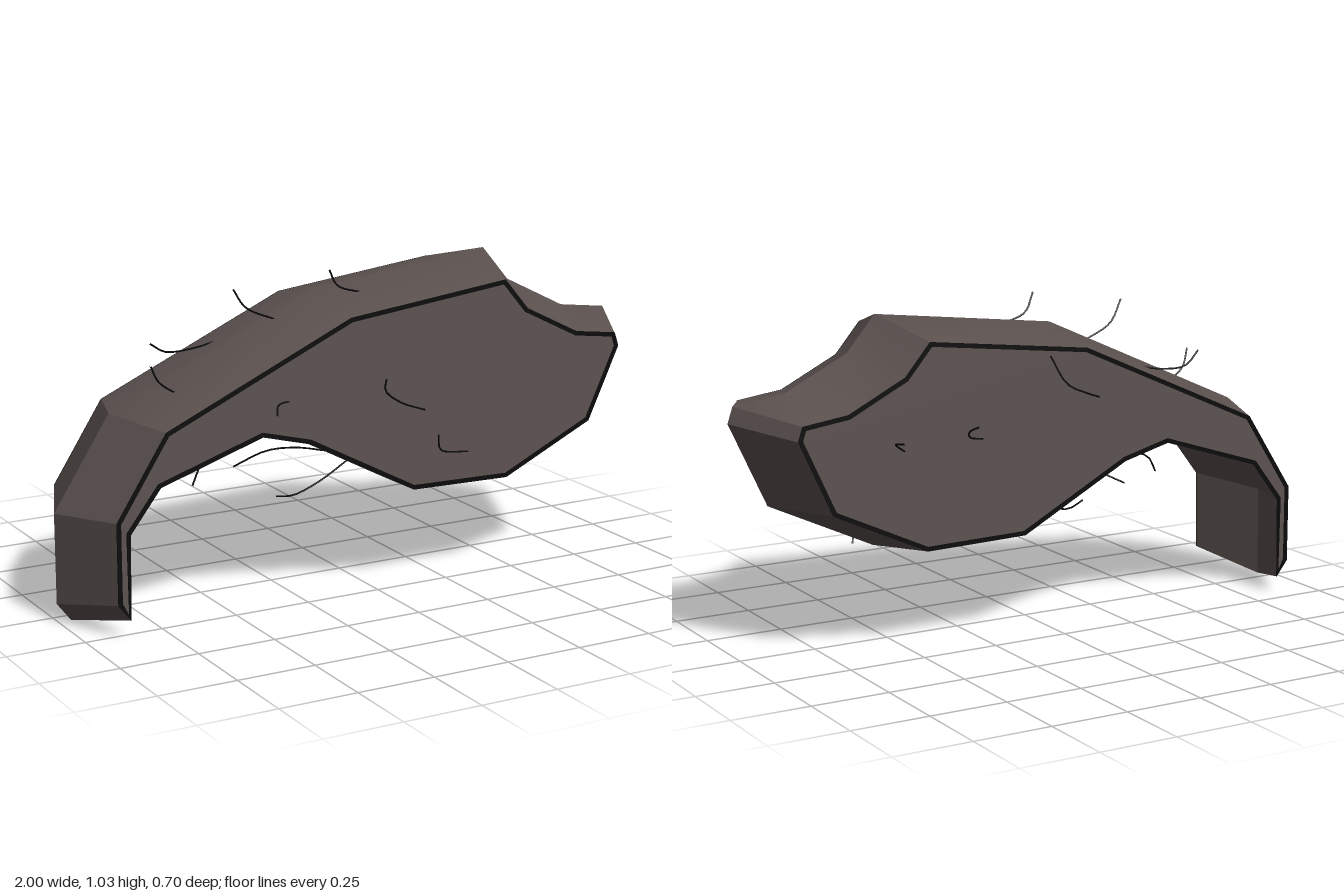
import * as THREE from 'three';
import { toCreasedNormals } from 'three/addons/utils/BufferGeometryUtils.js';

const BACK = -0.19, RIDGE = 0.043, FRONT = 0.28;

// side outline, counter-clockwise seen from the front
const outline = [
  [-0.905, 0.107], [-0.905, 0.36], [-0.74, 0.615], [-0.115, 0.895], [0.44, 0.96],
  [0.525, 0.86], [0.715, 0.765], [0.865, 0.745], [0.88, 0.70], [0.77, 0.463],
  [0.455, 0.315], [0.11, 0.322], [-0.26, 0.518], [-0.42, 0.56], [-0.76, 0.45],
  [-0.86, 0.32], [-0.865, 0.055],
].reverse().map(([x, y]) => new THREE.Vector2(x, y));

// the middle ridge is the same outline, slightly enlarged
const ridge = outline.map(p => new THREE.Vector2(p.x * 1.123 + 0.013, p.y * 1.125 - 0.061));

// outline moved inward by d with mitred corners
function inset(points, d) {
  const n = points.length;
  return points.map((p, i) => {
    const a = p.clone().sub(points[(i + n - 1) % n]).normalize();
    const b = points[(i + 1) % n].clone().sub(p).normalize();
    const na = new THREE.Vector2(-a.y, a.x), nb = new THREE.Vector2(-b.y, b.x);
    const m = na.clone().add(nb);
    return p.clone().addScaledVector(m, d / Math.max(0.5, 1 + na.dot(nb)));
  });
}

function bodyGeometry() {
  const rings = [[outline, BACK], [ridge, RIDGE], [outline, FRONT]];
  const pos = [], index = [], n = outline.length;
  for (const [pts, z] of rings) for (const p of pts) pos.push(p.x, p.y, z);
  for (let r = 0; r < 2; r++) {
    for (let i = 0; i < n; i++) {
      const j = (i + 1) % n, a = r * n + i, b = r * n + j;
      index.push(a, b, b + n, a, b + n, a + n);
    }
  }
  for (const [a, b, c] of THREE.ShapeUtils.triangulateShape(outline, [])) {
    index.push(a + 2 * n, b + 2 * n, c + 2 * n, c, b, a);
  }
  const g = new THREE.BufferGeometry();
  g.setAttribute('position', new THREE.Float32BufferAttribute(pos, 3));
  g.setIndex(index);
  return toCreasedNormals(g, 0.45);
}

// each hair is a curve through a few points
const hairs = {
  frontHair: [
    [[-0.03, 0.71, 0.35], [-0.01, 0.66, 0.31], [0.06, 0.61, 0.29], [0.15, 0.575, 0.28]],
    [[-0.40, 0.635, 0.34], [-0.385, 0.655, 0.31], [-0.36, 0.66, 0.29], [-0.33, 0.66, 0.28]],
    [[0.17, 0.505, 0.33], [0.19, 0.45, 0.305], [0.23, 0.43, 0.285], [0.31, 0.42, 0.28]],
  ],
  backHair: [
    [[-0.16, 0.735, -0.19], [-0.09, 0.76, -0.23], [-0.01, 0.80, -0.24], [0.03, 0.885, -0.21]],
    [[0.36, 0.72, -0.35], [0.35, 0.69, -0.27], [0.32, 0.66, -0.22], [0.26, 0.645, -0.19]],
    [[0.60, 0.69, -0.33], [0.585, 0.67, -0.24], [0.53, 0.635, -0.19]],
  ],
  topHair: [
    [[-0.73, 0.79, 0.16], [-0.69, 0.73, 0.13], [-0.62, 0.68, 0.125]],
    [[-0.65, 0.815, -0.02], [-0.58, 0.775, -0.05], [-0.48, 0.775, -0.06], [-0.40, 0.79, -0.06]],
    [[-0.43, 0.985, 0.11], [-0.37, 0.915, 0.08], [-0.26, 0.865, 0.07]],
    [[-0.125, 1.025, 0.16], [-0.08, 0.965, 0.135], [0.01, 0.935, 0.13]],
  ],
  bottomHair: [
    [[-0.58, 0.39, 0.12], [-0.52, 0.455, 0.08], [-0.40, 0.485, 0.06], [-0.25, 0.505, 0.05]],
    [[-0.38, 0.395, 0], [-0.28, 0.44, 0.03], [-0.18, 0.44, 0.04], [-0.07, 0.415, 0.04]],
    [[-0.30, 0.32, 0.13], [-0.22, 0.305, 0.10], [-0.12, 0.335, 0.09], [-0.01, 0.39, 0.08]],
    [[0.60, 0.31, 0.03], [0.59, 0.335, 0.045]],
  ],
};

export function createModel() {
  const model = new THREE.Group();
  const brown = new THREE.MeshStandardMaterial({ color: 0x5c5250 });
  const black = new THREE.MeshStandardMaterial({ color: 0x080808 });
  const add = (name, geometry, material) => {
    const mesh = new THREE.Mesh(geometry, material);
    mesh.name = name;
    model.add(mesh);
    return mesh;
  };

  add('body', bodyGeometry(), brown);

  // dark border lying on both flat sides
  const border = new THREE.Shape(outline);
  border.holes.push(new THREE.Path(inset(outline, 0.014)));
  const rim = new THREE.ExtrudeGeometry(border, { depth: 0.003, bevelEnabled: false });
  add('frontBorder', rim, black).position.z = FRONT;
  add('backBorder', rim, black).position.z = BACK - 0.003;

  // thin curved hairs
  for (const [name, list] of Object.entries(hairs)) {
    for (const points of list) {
      const curve = new THREE.CatmullRomCurve3(points.map(p => new THREE.Vector3(...p)));
      add(name, new THREE.TubeGeometry(curve, 10, 0.003, 5), black);
    }
  }
  return model;
}
